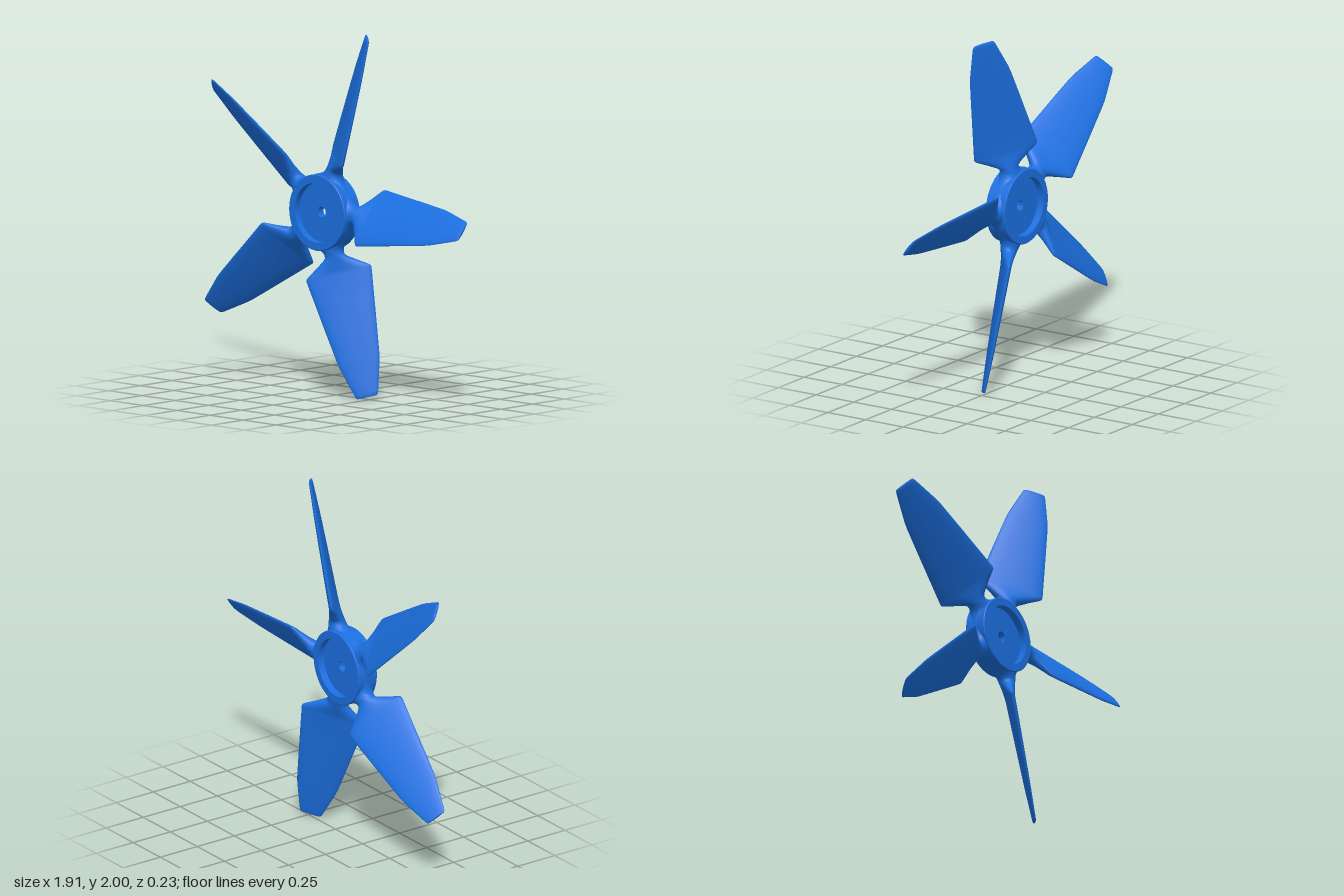
import * as THREE from 'three';
import { toCreasedNormals } from 'three/addons/utils/BufferGeometryUtils.js';

const HUB_X = -0.09, HUB_Y = 1.0, BLADES = 5;

// Blade stations along the radius: [radius, half chord, half thickness, pitch in degrees]
const STATIONS = [
  [0.168, 0.130, 0.060, 0],
  [0.185, 0.104, 0.059, 0],
  [0.200, 0.080, 0.057, 2],
  [0.215, 0.064, 0.054, 8],
  [0.232, 0.055, 0.050, 20],
  [0.250, 0.056, 0.046, 32],
  [0.265, 0.070, 0.042, 38],
  [0.300, 0.122, 0.033, 39],
  [0.330, 0.168, 0.027, 39],
  [0.340, 0.180, 0.025, 39],
  [0.352, 0.183, 0.024, 39],
  [0.500, 0.163, 0.022, 39],
  [0.670, 0.140, 0.019, 39],
  [0.820, 0.119, 0.016, 39],
  [0.860, 0.111, 0.015, 39],
  [0.950, 0.086, 0.012, 39],
  [1.020, 0.066, 0.010, 39],
  [1.033, 0.061, 0.009, 39],
  [1.039, 0.055, 0.007, 39],
  [1.040, 0.050, 0.005, 39],
  [1.040, 0.000, 0.000, 39],
];

// Loft of elliptical sections running out along +x
function bladeGeometry(sides = 40) {
  const pos = [], index = [];
  STATIONS.forEach(([r, chord, thick, deg], i) => {
    const p = THREE.MathUtils.degToRad(-deg), c = Math.cos(p), s = Math.sin(p);
    for (let j = 0; j < sides; j++) {
      const a = (j / sides) * Math.PI * 2;
      const u = chord * Math.cos(a), v = thick * Math.sin(a);
      pos.push(r, u * c - v * s, u * s + v * c);
      if (i === STATIONS.length - 1) continue;
      const k = (j + 1) % sides, A = i * sides, B = A + sides;
      index.push(A + j, A + k, B + j, A + k, B + k, B + j);
    }
  });
  const g = new THREE.BufferGeometry();
  g.setAttribute('position', new THREE.Float32BufferAttribute(pos, 3));
  g.setIndex(index);
  return toCreasedNormals(g, 0.7);
}

// Hub: ring with a recess on both faces and a web pierced by the shaft hole
function hubGeometry() {
  const R = 0.21, inner = 0.165, hole = 0.029, h = 0.063, web = 0.022, b = 0.004;
  const profile = [
    [hole, -web], [inner, -web], [inner, -h], [R - b, -h], [R, -h + b],
    [R, h - b], [R - b, h], [inner, h], [inner, web], [hole, web], [hole, -web],
  ].map(([x, y]) => new THREE.Vector2(x, y));
  const g = new THREE.LatheGeometry(profile, 80);
  g.rotateX(Math.PI / 2);
  return toCreasedNormals(g, 0.5);
}

export function createModel() {
  const model = new THREE.Group();
  model.name = 'propeller';
  const material = new THREE.MeshStandardMaterial({ color: 0x1b6fe0 });

  const rotor = new THREE.Group();
  rotor.name = 'rotor';
  rotor.position.set(HUB_X, HUB_Y, 0);
  model.add(rotor);

  const hub = new THREE.Mesh(hubGeometry(), material);
  hub.name = 'hub';
  rotor.add(hub);

  // Five identical pitched blades
  const geometry = bladeGeometry();
  for (let i = 0; i < BLADES; i++) {
    const blade = new THREE.Mesh(geometry, material);
    blade.name = `blade${i + 1}`;
    blade.rotation.z = (i / BLADES) * Math.PI * 2;
    rotor.add(blade);
  }
  return model;
}
